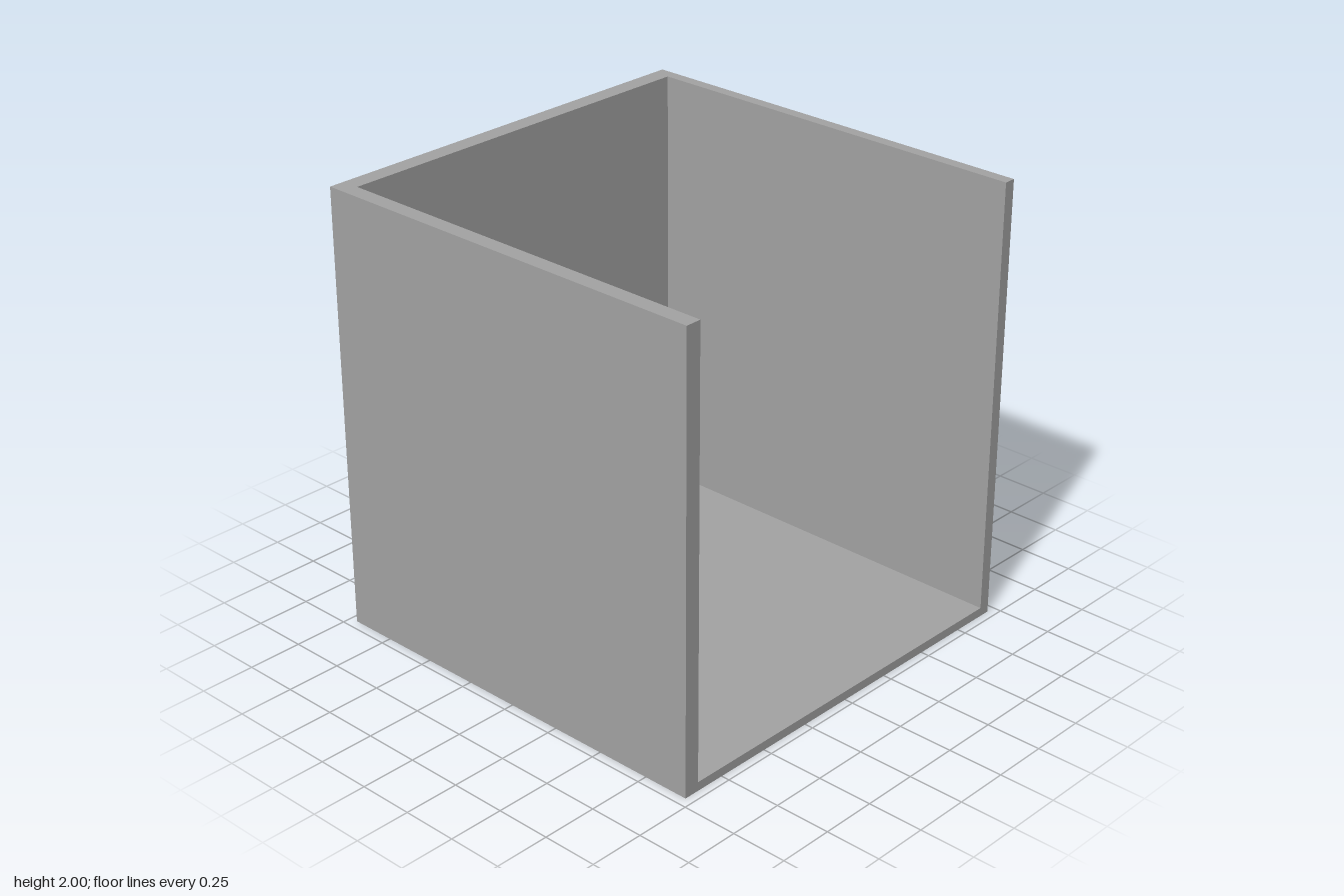
import * as THREE from 'three';

const W = 0.957, D = 0.962, H = 2;                          // outer half width, half depth, height
const IN_RIGHT = -0.886, IN_LEFT = 0.905, IN_BACK = -0.881; // inner wall faces
const FLOOR = 0.04;

export function createModel() {
  const group = new THREE.Group();
  group.name = 'openBox';
  const material = new THREE.MeshStandardMaterial({ color: 0xa3a3a3 });

  // Back and side walls: one U-shaped plan, open to the front, extruded upwards
  const plan = new THREE.Shape([
    [-W, -D], [IN_RIGHT, -D], [IN_RIGHT, -IN_BACK], [IN_LEFT, -IN_BACK],
    [IN_LEFT, -D], [W, -D], [W, D], [-W, D],
  ].map(([x, y]) => new THREE.Vector2(x, y)));
  const wallGeometry = new THREE.ExtrudeGeometry(plan, { depth: H, bevelEnabled: false });
  wallGeometry.rotateX(-Math.PI / 2);
  const walls = new THREE.Mesh(wallGeometry, material);
  walls.name = 'walls';
  group.add(walls);

  // Thin floor panel fitted between the walls
  const floor = new THREE.Mesh(new THREE.BoxGeometry(IN_LEFT - IN_RIGHT, FLOOR, D - IN_BACK), material);
  floor.position.set((IN_LEFT + IN_RIGHT) / 2, FLOOR / 2, (D + IN_BACK) / 2);
  floor.name = 'floor';
  group.add(floor);

  return group;
}
